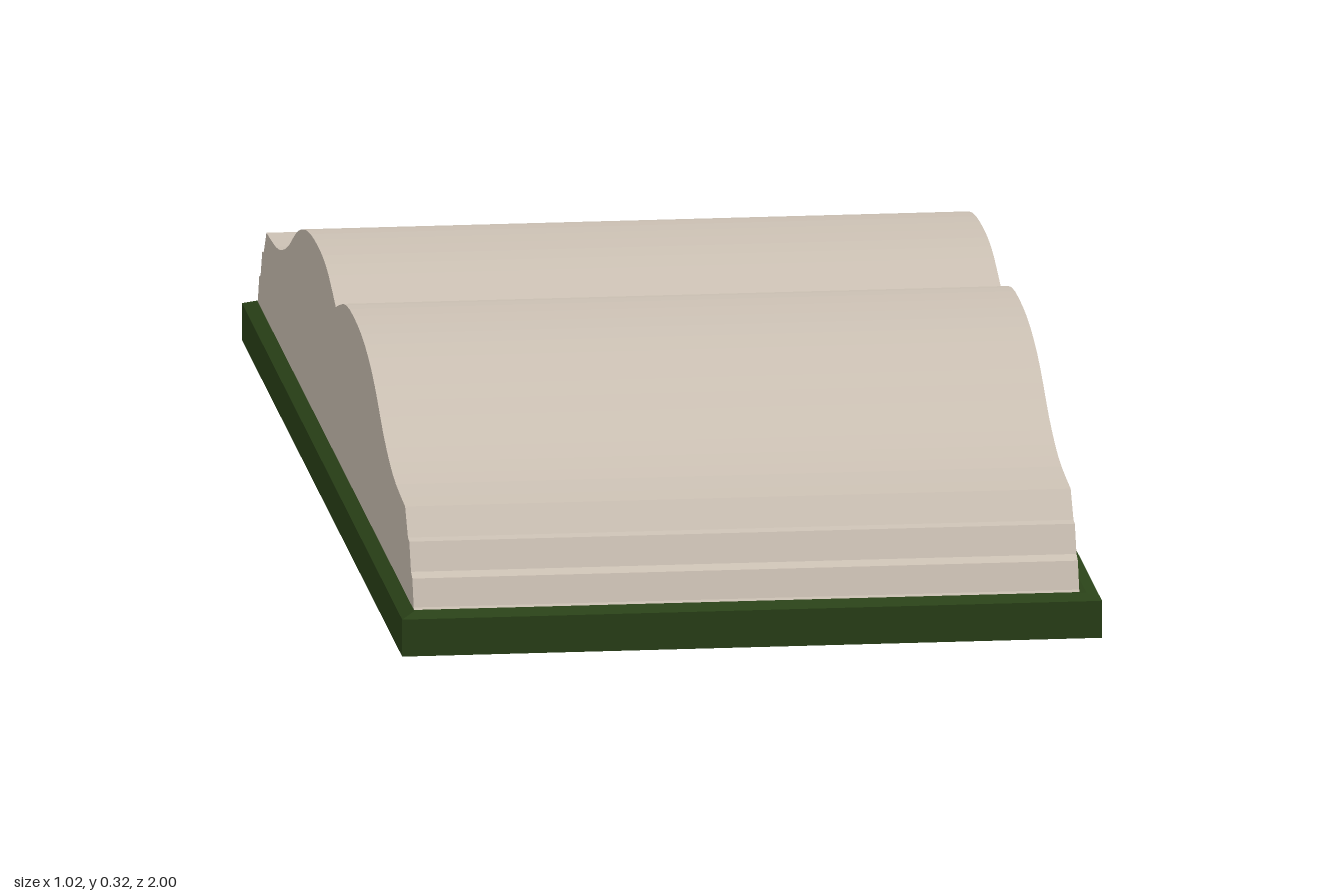
import * as THREE from 'three';

const pageMat = new THREE.MeshStandardMaterial({ color: 0xcdc2b5, flatShading: true });
const coverMat = new THREE.MeshStandardMaterial({ color: 0x2a4218, flatShading: true });

// Cover slab with a shallow bevel rising to the pages and a pale underside
function makeCover() {
  const geo = new THREE.BoxGeometry(1.02, 0.063, 2, 1, 2, 1);
  geo.translate(0, 0.0315, 0);
  const p = geo.attributes.position;
  for (let i = 0; i < p.count; i++) {
    const y = p.getY(i);
    if (y > 0.05) p.setXYZ(i, p.getX(i) * 0.96, y, p.getZ(i) * 0.98);
    else if (y > 0.02) p.setY(i, 0.055);
  }
  const flat = geo.toNonIndexed();
  flat.computeVertexNormals();
  const materials = [0, 1, 2, 3, 4, 5].map((side) => (side === 3 ? pageMat : coverMat));
  const mesh = new THREE.Mesh(flat, materials);
  mesh.name = 'cover';
  return mesh;
}

// Open pages: one curved half with a stepped fore-edge, mirrored at the gutter
function makePages() {
  const v = (z, y) => new THREE.Vector2(z, y);
  const swell = new THREE.SplineCurve([
    v(0, 0.284), v(0.09, 0.31), v(0.17, 0.321), v(0.27, 0.321), v(0.36, 0.313),
    v(0.45, 0.293), v(0.52, 0.267), v(0.59, 0.236), v(0.67, 0.211),
    v(0.75, 0.197), v(0.865, 0.191),
  ]).getPoints(20);
  const steps = [
    v(0.9, 0.153), v(0.917, 0.151), v(0.938, 0.111), v(0.955, 0.105),
    v(0.972, 0.066), v(0.978, 0.06),
  ];
  const half = [...swell, ...steps];
  const mirrored = half.slice(1).reverse().map((q) => v(-q.x, q.y));
  const outline = [...mirrored, ...half];
  const geo = new THREE.ExtrudeGeometry(new THREE.Shape(outline), {
    depth: 0.97, bevelEnabled: false, curveSegments: 1,
  });
  geo.rotateY(-Math.PI / 2);
  geo.translate(0.48, 0, 0);
  const mesh = new THREE.Mesh(geo, pageMat);
  mesh.name = 'pages';
  return mesh;
}

export function createModel() {
  const group = new THREE.Group();
  group.name = 'openBook';
  group.add(makeCover(), makePages());
  return group;
}
